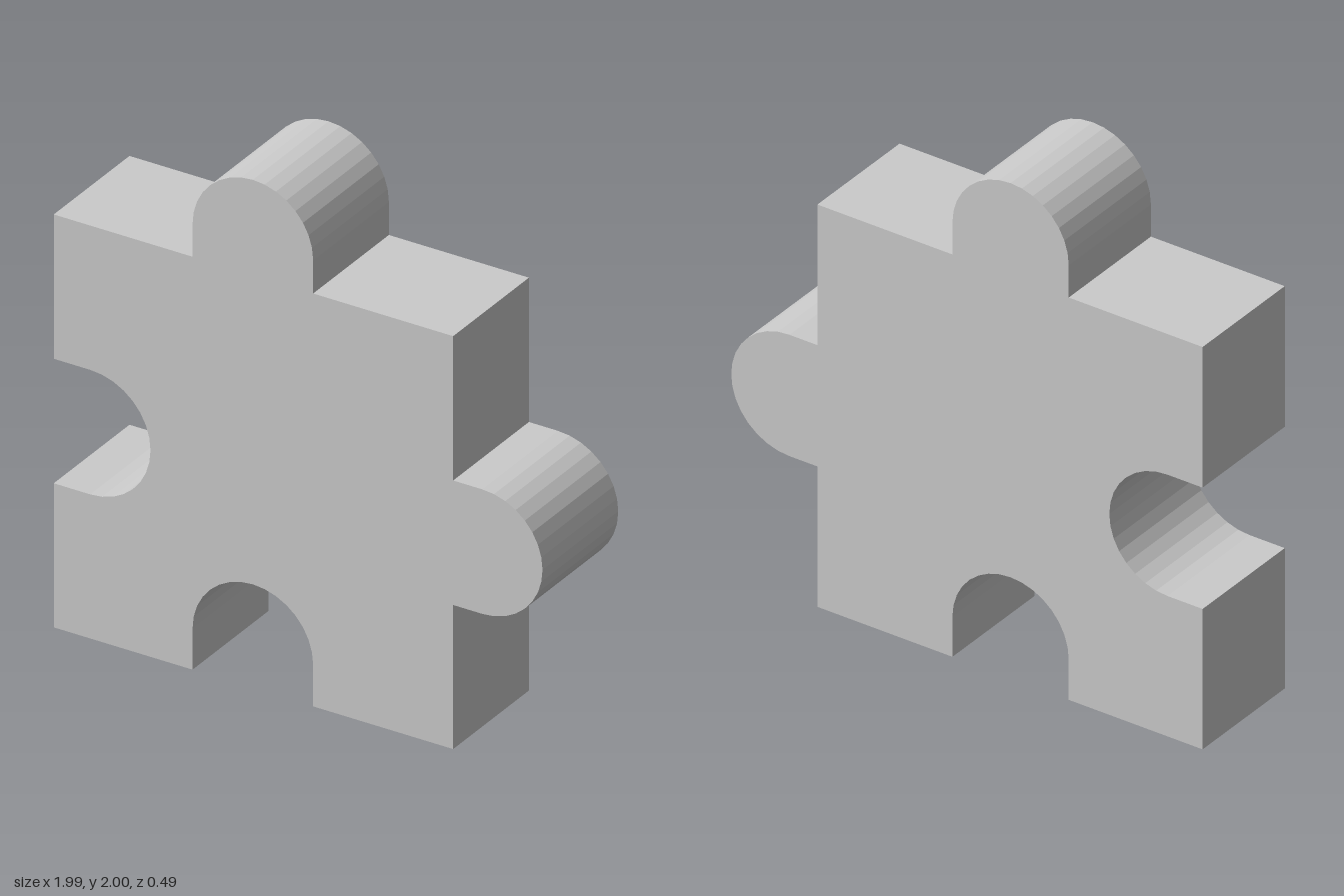
import * as THREE from 'three';

export function createModel() {
  const group = new THREE.Group();
  const left = -0.993, right = 0.63, top = 1.625;  // square body
  const cx = -0.184, cy = 0.812;                   // edge midpoints
  const r = 0.245, depth = 0.49;                   // knob radius, thickness
  const neck = 0.163, tabNeck = 0.13;              // straight part before each arc
  const tabX = 0.993 - r, tabY = top + tabNeck;
  const H = Math.PI / 2;

  const s = new THREE.Shape();
  s.moveTo(left, 0);
  // bottom socket
  s.lineTo(cx - r, 0);
  s.absarc(cx, neck, r, Math.PI, 0, true);
  s.lineTo(cx + r, 0);
  s.lineTo(right, 0);
  // side tab
  s.lineTo(right, cy - r);
  s.absarc(tabX, cy, r, -H, H, false);
  s.lineTo(right, cy + r);
  s.lineTo(right, top);
  // top tab
  s.lineTo(cx + r, top);
  s.absarc(cx, tabY, r, 0, Math.PI, false);
  s.lineTo(cx - r, top);
  s.lineTo(left, top);
  // side socket
  s.lineTo(left, cy + r);
  s.absarc(left + 0.148, cy, r, H, -H, true);
  s.lineTo(left, cy - r);
  s.closePath();

  // each half circle gets 16 flat facets
  const geometry = new THREE.ExtrudeGeometry(s, { depth, bevelEnabled: false, curveSegments: 8 });
  geometry.translate(0, 0, -depth / 2);
  const piece = new THREE.Mesh(
    geometry,
    new THREE.MeshStandardMaterial({ color: 0xcccccc, flatShading: true })
  );
  piece.name = 'puzzlePiece';
  group.add(piece);
  return group;
}
